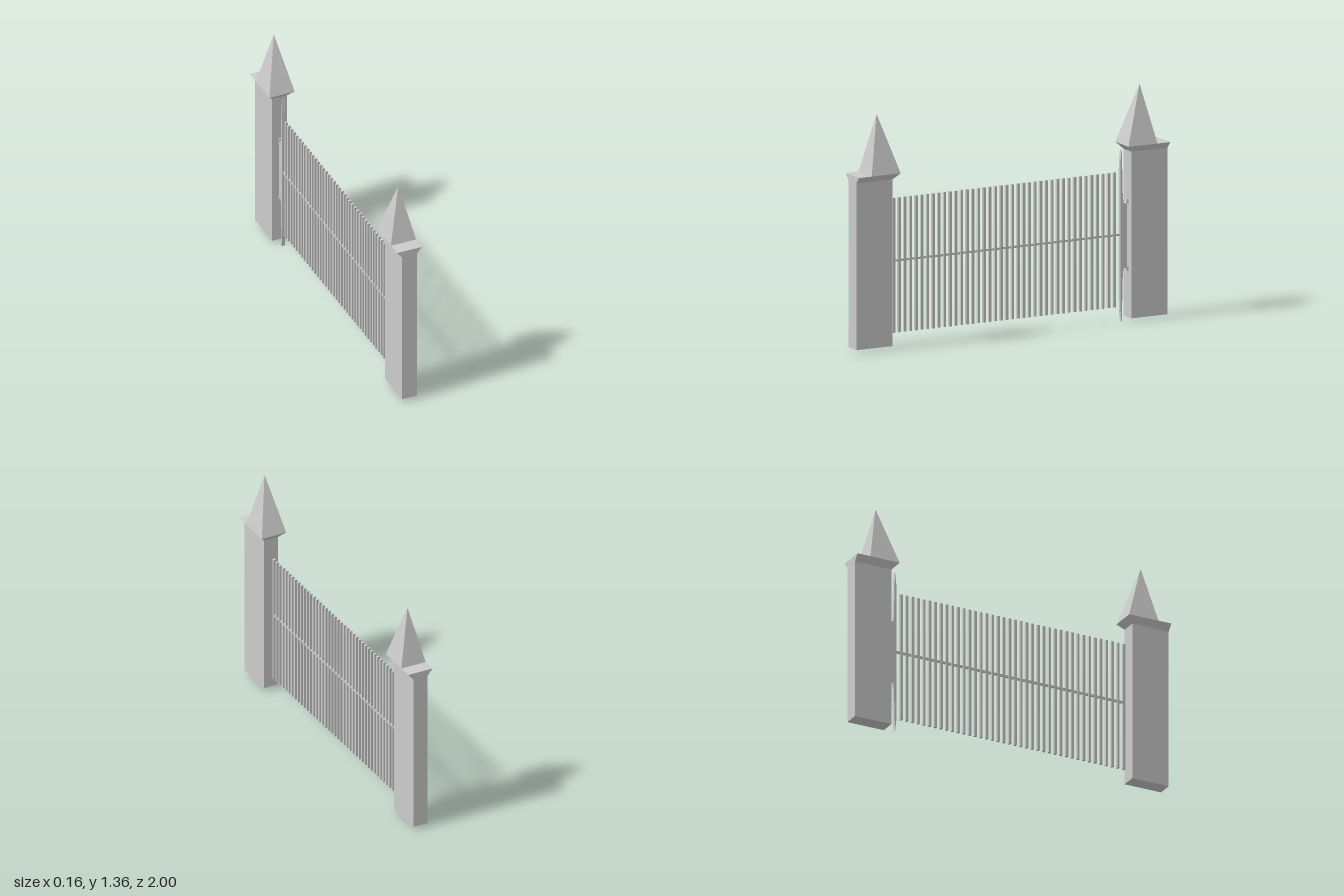
import * as THREE from 'three';

const stone = new THREE.MeshStandardMaterial({ color: 0xcccccc });
stone.name = 'light grey';

function part(name, geometry) {
  const mesh = new THREE.Mesh(geometry, stone);
  mesh.name = name;
  return mesh;
}

function box(name, [x0, x1], [y0, y1], [z0, z1]) {
  const g = new THREE.BoxGeometry(x1 - x0, y1 - y0, z1 - z0);
  g.translate((x0 + x1) / 2, (y0 + y1) / 2, (z0 + z1) / 2);
  return part(name, g);
}

// Box whose top rectangle differs from its bottom one; rect = [x0, x1, z0, z1]
function taper(name, bottom, y0, top, y1) {
  const g = new THREE.BoxGeometry(1, 1, 1).toNonIndexed();
  const p = g.attributes.position;
  for (let i = 0; i < p.count; i++) {
    const upper = p.getY(i) > 0;
    const r = upper ? top : bottom;
    p.setXYZ(i, p.getX(i) > 0 ? r[1] : r[0], upper ? y1 : y0, p.getZ(i) > 0 ? r[3] : r[2]);
  }
  g.computeVertexNormals();
  return part(name, g);
}

// Pillar, flared cap (flush on its outer side) and off-centre spire
function makePillar(name) {
  const pillar = new THREE.Group();
  pillar.name = name;
  const e = 0.0005;
  pillar.add(
    box('shaft', [-0.043, 0.049], [0.02, 0.98], [0.768, 1]),
    taper('cap', [-0.043, 0.049, 0.768, 1], 0.98, [-0.075, 0.081, 0.732, 1], 1.018),
    taper('spire', [-0.075, 0.081, 0.732, 0.918], 1.018,
      [0.003 - e, 0.003 + e, 0.845 - e, 0.845 + e], 1.355)
  );
  return pillar;
}

export function createModel() {
  const gate = new THREE.Group();
  gate.name = 'gate';

  // Two pillars, the back one turned half round
  const back = makePillar('backPillar');
  back.rotation.y = Math.PI;
  gate.add(makePillar('frontPillar'), back);

  // Row of upright bars with one middle rail
  const bars = new THREE.Group();
  bars.name = 'bars';
  for (let i = 0; i < 40; i++) {
    const z = 0.735 - i * 0.0363;
    bars.add(box('bar', [-0.008, 0.008], [0.085, 0.862], [z - 0.0075, z + 0.0075]));
  }
  gate.add(bars, box('middleRail', [-0.006, 0.006], [0.494, 0.506], [-0.72, 0.735]));

  // Hinge plate: pointed at both ends, with two hooks towards the back pillar
  const upper = [
    [-0.759, 0.5], [-0.759, 0.68], [-0.766, 0.68], [-0.766, 0.703], [-0.757, 0.703],
    [-0.757, 0.688], [-0.747, 0.678], [-0.736, 0.682], [-0.731, 0.72],
    [-0.728, 0.85], [-0.724, 0.99], [-0.716, 0.92], [-0.715, 0.72]
  ];
  const lower = upper.slice(1).reverse().map(([z, y]) => [z, 0.99 - y]);
  const outline = [...upper, ...lower].map(([z, y]) => new THREE.Vector2(z, y));
  const plate = new THREE.ExtrudeGeometry(new THREE.Shape(outline), { depth: 0.02, bevelEnabled: false });
  plate.rotateY(-Math.PI / 2);
  plate.translate(0.01, 0, 0);
  gate.add(part('hingePlate', plate));

  return gate;
}
